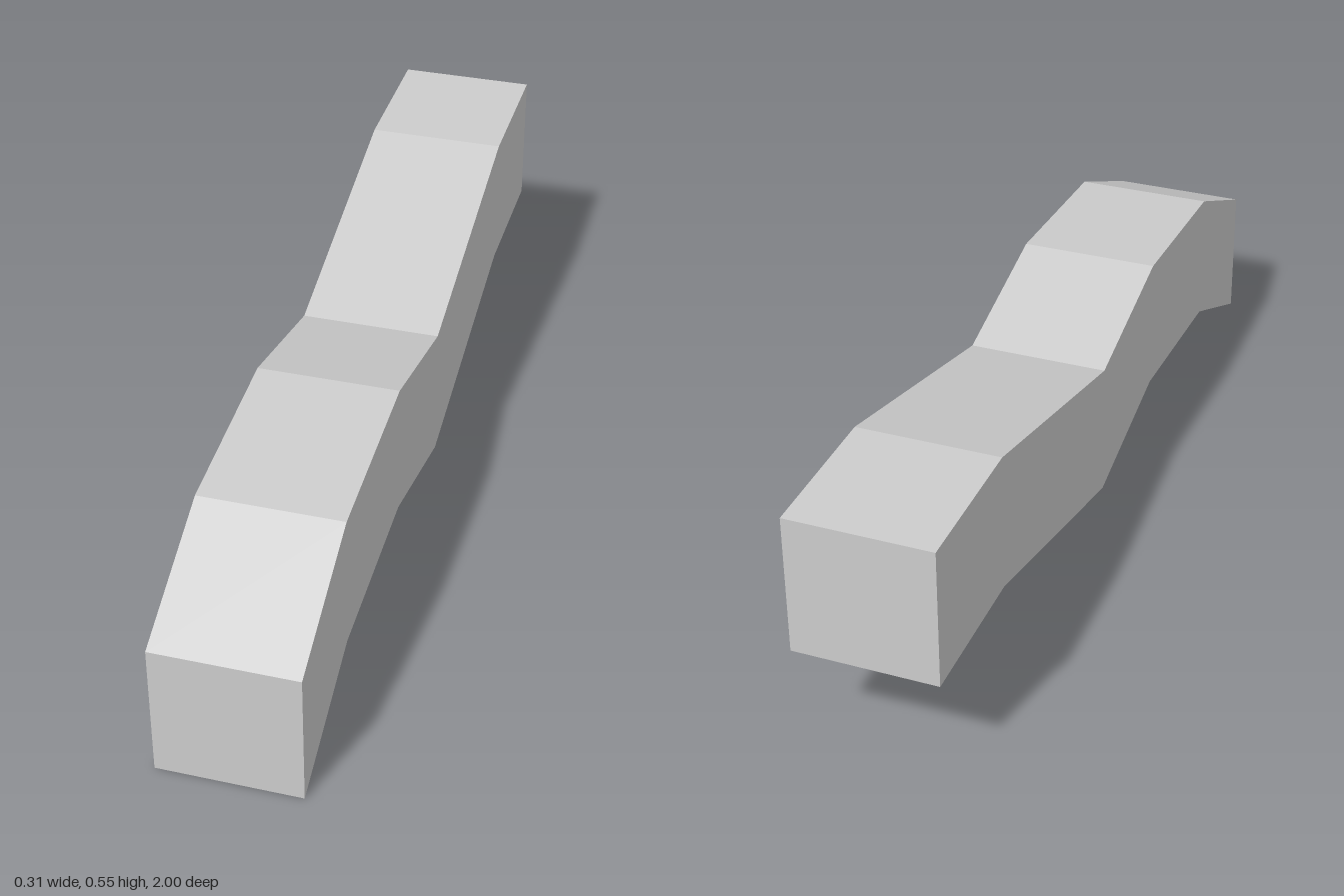
import * as THREE from 'three';

export function createModel() {
  const group = new THREE.Group();
  group.name = 'bentBeam';

  const lightGrey = new THREE.MeshStandardMaterial({ color: 0xcccccc });
  lightGrey.name = 'light grey';

  // Square section swept along a bent path: [z, y] of the top edge, front to back
  const size = 0.312;
  const top = [[1, 0.312], [0.69, 0.454], [0.28, 0.483], [-0.06, 0.396], [-0.67, 0.55], [-1, 0.55]];
  const bottom = top.map(([z, y]) => [z, y - size]).reverse();
  const profile = new THREE.Shape([...top, ...bottom].map(([z, y]) => new THREE.Vector2(z, y)));

  // Extrude across the width, then turn the profile to run along z
  const geometry = new THREE.ExtrudeGeometry(profile, { depth: size, bevelEnabled: false });
  geometry.translate(0, 0, -size / 2);
  geometry.rotateY(-Math.PI / 2);

  const beam = new THREE.Mesh(geometry, lightGrey);
  beam.name = 'beam';
  group.add(beam);
  return group;
}
